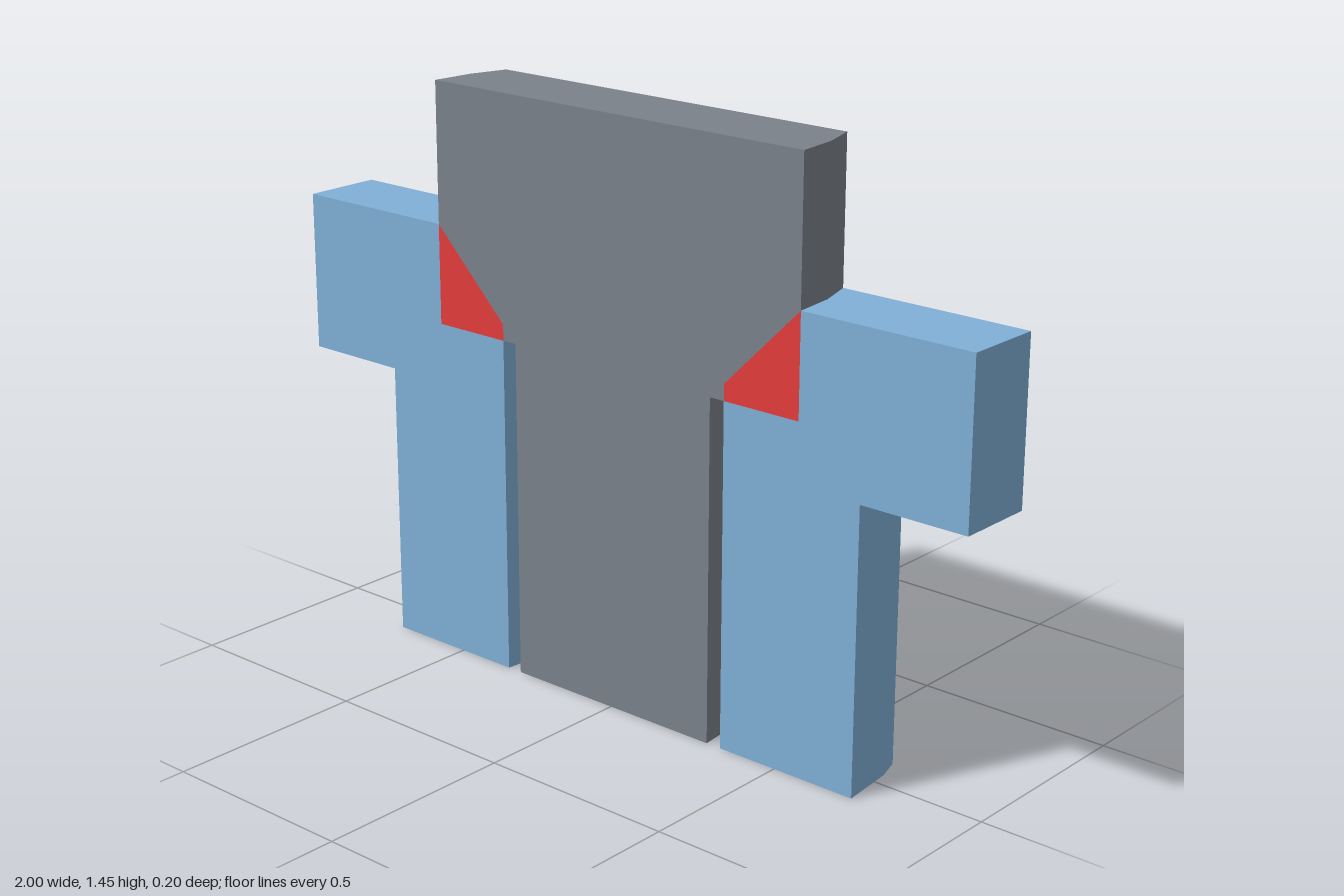
import * as THREE from 'three';

const DEPTH = 0.2, SIDES = 32;

// Half width, at depth d behind the axis plane, of a 32-sided cylinder of radius r.
function halfWidth(r, d) {
  const step = (2 * Math.PI) / SIDES;
  const k = Math.floor(Math.asin(Math.min(d / r, 1)) / step);
  const z0 = r * Math.sin(k * step), z1 = r * Math.sin((k + 1) * step);
  const t = (d - z0) / (z1 - z0);
  return r * THREE.MathUtils.lerp(Math.cos(k * step), Math.cos((k + 1) * step), t);
}

// Sweeps a front section back through the slab, following the round surfaces.
// Points at x = 1 belong to the flat outer end and stay put.
function slice(name, points, color) {
  const shape = new THREE.Shape(points.map(([x, y]) => new THREE.Vector2(x, y)));
  const geo = new THREE.ExtrudeGeometry(shape, { depth: DEPTH, steps: 40, bevelEnabled: false });
  geo.translate(0, 0, -DEPTH / 2);
  const p = geo.attributes.position;
  for (let i = 0; i < p.count; i++) {
    const r = Math.abs(p.getX(i)), d = Math.max(0, DEPTH / 2 - p.getZ(i));
    if (r < 0.99) p.setX(i, Math.sign(p.getX(i)) * halfWidth(r, d));
  }
  geo.computeVertexNormals();
  const mesh = new THREE.Mesh(geo, new THREE.MeshStandardMaterial({ color }));
  mesh.name = name;
  return mesh;
}

export function createModel() {
  const group = new THREE.Group();
  group.name = 'sectionedPlugAndSeat';
  const mirror = (pts) => pts.map(([x, y]) => [-x, y]);

  // Conical contact line, from the neck up to the head
  const cone = [];
  for (let i = 0; i <= 10; i++) cone.push([0.34 + 0.021 * i, 0.89 + 0.021 * i]);

  // Plug: stem, neck, cone and head
  const half = [[0.3, 0], [0.3, 0.85], [0.34, 0.85], ...cone, [0.55, 1.45]];
  group.add(slice('plug', [...half, ...mirror(half).reverse()], 0x7b828a));

  // Housing and sealing ring on each side
  const housing = [[0.34, 0], [0.72, 0], [0.72, 0.7], [1, 0.7], [1, 1.1], [0.55, 1.1], [0.55, 0.85], [0.34, 0.85]];
  const seal = [[0.34, 0.85], [0.55, 0.85], ...cone.slice().reverse()];
  for (const [side, place] of [['left', (p) => p], ['right', mirror]]) {
    group.add(slice(side + 'Housing', place(housing), 0x7fb0d6));
    group.add(slice(side + 'Seal', place(seal), 0xe53c3c));
  }
  return group;
}
